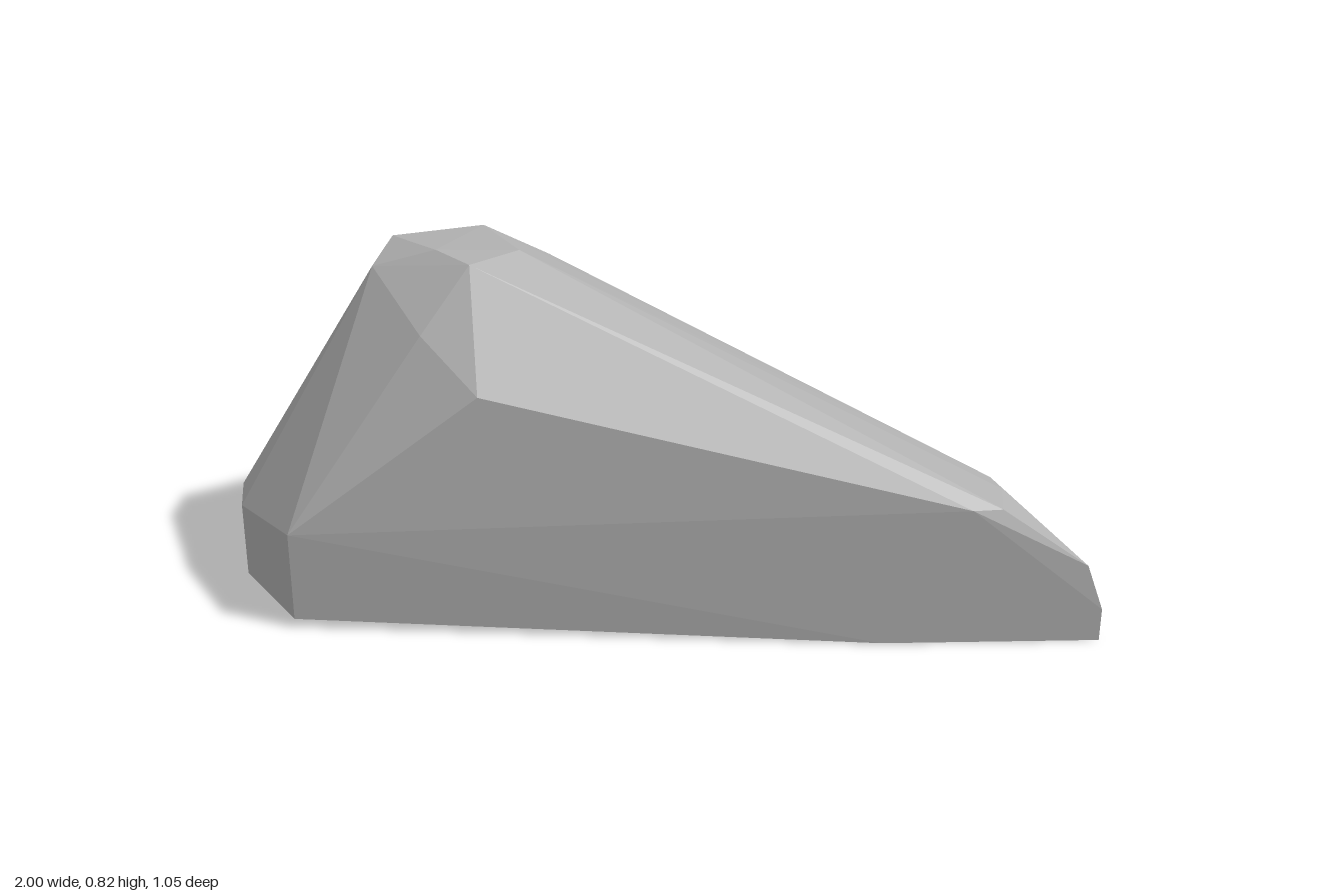
import * as THREE from 'three';
import { ConvexGeometry } from 'three/addons/geometries/ConvexGeometry.js';

// Faceted boulder: upright rim wall, sloping flanks and a blunt peak.
export function createModel() {
  const group = new THREE.Group();
  group.name = 'boulder';
  const stone = new THREE.MeshStandardMaterial({ color: 0xb0b0b0, flatShading: true });
  stone.name = 'stoneGrey';

  const points = [];
  const add = (x, y, z) => points.push(new THREE.Vector3(x, y, z));
  // gently tilted underside
  const floorY = (x, z) => Math.max(0, 0.0198 - 0.0115 * x - 0.0159 * z);

  // rim outline: x, z and height of the wall top
  const rim = [
    [-0.84, 0.405, 0.24], [-0.98, 0.19, 0.21], [-1, 0.05, 0.2], [-0.98, -0.1, 0.205],
    [-0.82, -0.33, 0.21], [-0.71, -0.43, 0.215], [-0.58, -0.495, 0.22], [-0.42, -0.528, 0.22],
    [-0.35, -0.528, 0.22], [-0.2, -0.495, 0.222], [-0.03, -0.4, 0.225],
    [0.53, 0.1, 0.3], [0.77, 0.315, 0.315], [1, 0.525, 0.08],
  ];
  for (const [x, z, top] of rim) {
    add(x, floorY(x, z), z);
    add(x, top, z);
  }

  // low pointed nose
  add(0.5, 0.002, 0.525);
  add(0.69, 0.335, 0.525);
  add(0.76, 0.33, 0.51);
  add(0.78, 0.326, 0.4);
  add(0.96, 0.19, 0.52);

  // shoulders
  add(-0.4, 0.57, 0.4);
  add(-0.53, 0.67, 0.28);
  add(-0.3, 0.56, -0.29);
  add(-0.42, 0.565, -0.285);
  add(-0.25, 0.7, -0.185);

  // blunt peak
  add(-0.61, 0.81, -0.01);
  add(-0.4, 0.812, -0.075);
  add(-0.31, 0.81, 0.105);
  add(-0.42, 0.805, 0.19);
  add(-0.65, 0.77, 0.09);
  add(-0.5, 0.818, 0.12);

  const rock = new THREE.Mesh(new ConvexGeometry(points), stone);
  rock.name = 'rock';
  group.add(rock);
  return group;
}
